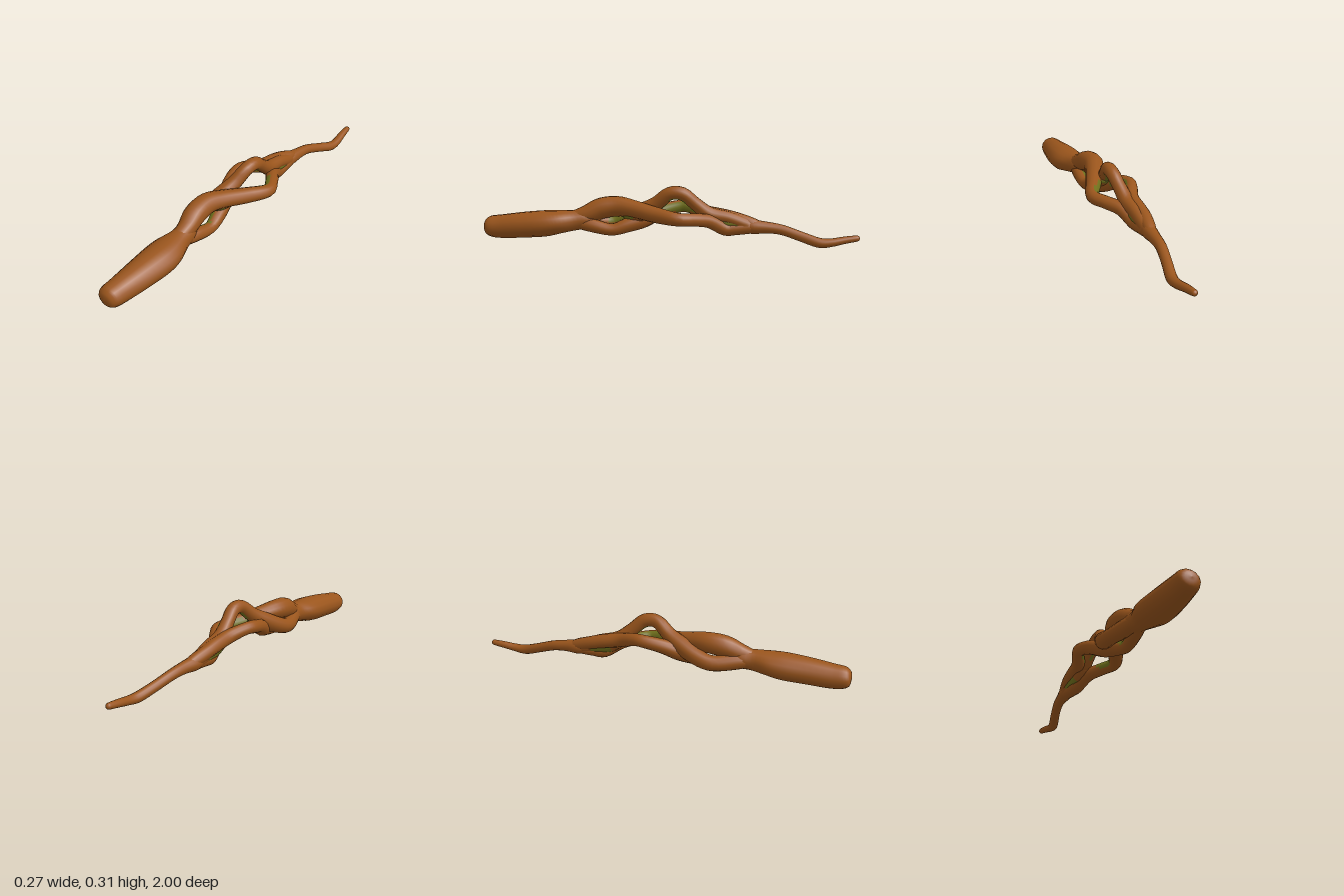
import * as THREE from 'three';

const SIDES = 14;
const bark = new THREE.MeshStandardMaterial({ color: 0x9a551c });
bark.name = 'brown bark';
const moss = new THREE.MeshStandardMaterial({ color: 0x70701c });
moss.name = 'olive moss';

// centre line enclosed by the three twisted strands, as [z, x, y]
const HUB = [[0.5, -0.02, 0.13], [0.3, -0.04, 0.13], [-0.06, 0, 0.205], [-0.32, -0.03, 0.125], [-0.5, -0.03, 0.1]];
// stretches of the twist that open up, mossy on the inside
const OPENINGS = [[0.19, 0.37], [-0.15, 0.06], [-0.37, -0.26]];

function hubAt(z) {
  const i = HUB.findIndex((h, k) => k > 0 && z >= h[0]);
  const [z0, x0, y0] = HUB[i - 1], [z1, x1, y1] = HUB[i];
  const t = (z0 - z) / (z0 - z1);
  return new THREE.Vector3(x0 + (x1 - x0) * t, y0 + (y1 - y0) * t, z);
}

// Smooth limb through points [x, y, z, half width, half height], running towards -z.
// Inside the openings, faces turned to the hub by more than mossLimit (a cosine) are mossy.
function limb(name, points, mossLimit = 2) {
  const path = new THREE.CatmullRomCurve3(points.map(p => new THREE.Vector3(p[0], p[1], p[2])), false, 'catmullrom', 0.5);
  const size = new THREE.CatmullRomCurve3(points.map(p => new THREE.Vector3(p[3], p[4] ?? p[3], 0)), false, 'catmullrom', 0.5);
  const rings = (points.length - 1) * 4;
  const pos = [], up = new THREE.Vector3(0, 1, 0);
  for (let i = 0; i <= rings; i++) {
    const c = path.getPoint(i / rings), r = size.getPoint(i / rings);
    const t = path.getTangent(i / rings);
    const sx = new THREE.Vector3().crossVectors(t, up).normalize();
    const sy = new THREE.Vector3().crossVectors(sx, t);
    for (let j = 0; j < SIDES; j++) {
      const a = j / SIDES * Math.PI * 2;
      const v = c.clone().addScaledVector(sx, Math.cos(a) * Math.max(r.x, 0.0005))
        .addScaledVector(sy, Math.sin(a) * Math.max(r.y, 0.0005));
      pos.push(v.x, v.y, v.z);
    }
  }
  const barkFaces = [], mossFaces = [];
  const at = k => new THREE.Vector3().fromArray(pos, k * 3);
  for (let i = 0; i < rings; i++) {
    for (let j = 0; j < SIDES; j++) {
      const a = i * SIDES + j, b = i * SIDES + (j + 1) % SIDES, c = a + SIDES, d = b + SIDES;
      let inner = false;
      const mid = at(a).add(at(d)).multiplyScalar(0.5);
      if (OPENINGS.some(([lo, hi]) => mid.z > lo && mid.z < hi)) {
        const n = at(c).sub(at(a)).cross(at(b).sub(at(a))).normalize();
        inner = n.dot(hubAt(mid.z).sub(mid).normalize()) > mossLimit;
      }
      (inner ? mossFaces : barkFaces).push(a, c, b, b, c, d);
    }
  }
  const geo = new THREE.BufferGeometry();
  geo.setAttribute('position', new THREE.Float32BufferAttribute(pos, 3));
  geo.setIndex([...barkFaces, ...mossFaces]);
  geo.addGroup(0, barkFaces.length, 0);
  geo.addGroup(barkFaces.length, mossFaces.length, 1);
  geo.computeVertexNormals();
  const mesh = new THREE.Mesh(geo, [bark, moss]);
  mesh.name = name;
  return mesh;
}

export function createModel() {
  const group = new THREE.Group();
  group.name = 'twistedWand';

  // thick rounded grip, tapering into the twist
  group.add(limb('handle', [
    [-0.025, 0.085, 1.0, 0], [-0.025, 0.085, 0.992, 0.04, 0.036], [-0.025, 0.084, 0.965, 0.06, 0.056],
    [-0.022, 0.084, 0.9, 0.068, 0.064], [-0.014, 0.095, 0.78, 0.082, 0.069],
    [-0.01, 0.105, 0.66, 0.092, 0.07], [-0.012, 0.115, 0.58, 0.085, 0.062],
    [-0.017, 0.124, 0.5, 0.058, 0.055], [-0.027, 0.132, 0.43, 0.052, 0.05], [-0.035, 0.15, 0.36, 0.02]]));

  // three strands winding around the hub
  group.add(limb('rightStrand', [
    [-0.018, 0.125, 0.54, 0.035], [-0.022, 0.155, 0.44, 0.048], [-0.035, 0.187, 0.36, 0.057],
    [-0.035, 0.199, 0.27, 0.056, 0.054], [-0.005, 0.19, 0.18, 0.05, 0.046], [0.05, 0.168, 0.06, 0.042],
    [0.101, 0.153, -0.06, 0.035], [0.066, 0.147, -0.14, 0.034], [0.012, 0.132, -0.22, 0.036],
    [-0.02, 0.09, -0.3, 0.036, 0.037], [-0.026, 0.09, -0.36, 0.035], [-0.03, 0.098, -0.44, 0.034], [-0.028, 0.096, -0.52, 0.015]], 0.4));
  group.add(limb('upperStrand', [
    [-0.025, 0.125, 0.52, 0.03], [-0.05, 0.117, 0.42, 0.043], [-0.087, 0.108, 0.31, 0.041],
    [-0.08, 0.128, 0.23, 0.044], [-0.05, 0.17, 0.14, 0.047], [-0.025, 0.218, 0.06, 0.039],
    [-0.002, 0.274, -0.01, 0.036], [0.0, 0.273, -0.08, 0.036], [-0.01, 0.222, -0.145, 0.035],
    [-0.02, 0.166, -0.22, 0.039], [-0.025, 0.145, -0.32, 0.035], [-0.03, 0.11, -0.42, 0.033], [-0.03, 0.096, -0.5, 0.015]], 0.4));
  group.add(limb('leftStrand', [
    [-0.015, 0.118, 0.52, 0.03], [-0.002, 0.1, 0.41, 0.036], [0.004, 0.079, 0.3, 0.032],
    [-0.01, 0.1, 0.22, 0.038], [-0.04, 0.13, 0.13, 0.044], [-0.08, 0.17, 0.04, 0.038],
    [-0.102, 0.193, -0.05, 0.034], [-0.092, 0.194, -0.11, 0.033], [-0.055, 0.17, -0.2, 0.037],
    [-0.05, 0.152, -0.3, 0.037], [-0.048, 0.136, -0.37, 0.035], [-0.035, 0.112, -0.45, 0.033], [-0.03, 0.098, -0.52, 0.015]], 0.4));

  // webs joining the strands where they meet, mossy where they show in the openings
  group.add(limb('frontWeb', [
    [-0.035, 0.15, 0.25, 0], [-0.03, 0.155, 0.21, 0.04, 0.035], [-0.022, 0.162, 0.14, 0.052, 0.042],
    [-0.02, 0.175, 0.08, 0.045, 0.03], [-0.02, 0.18, 0.04, 0]], -2));
  group.add(limb('backWeb', [
    [-0.022, 0.165, -0.17, 0], [-0.022, 0.15, -0.21, 0.04, 0.028], [-0.028, 0.125, -0.28, 0.036, 0.042],
    [-0.032, 0.118, -0.35, 0.036, 0.042], [-0.032, 0.105, -0.43, 0.035], [-0.03, 0.098, -0.5, 0.01]], -2));

  // thin tail curling up at the tip
  group.add(limb('tip', [
    [-0.032, 0.11, -0.38, 0.02], [-0.033, 0.1, -0.44, 0.038], [-0.028, 0.097, -0.52, 0.031],
    [-0.022, 0.087, -0.6, 0.027], [-0.002, 0.056, -0.7, 0.026], [0.02, 0.029, -0.79, 0.027, 0.026],
    [0.024, 0.031, -0.85, 0.024, 0.022], [0.017, 0.044, -0.92, 0.021, 0.019], [0.013, 0.053, -0.98, 0.016],
    [0.012, 0.055, -0.994, 0.011], [0.012, 0.056, -1.0, 0]]));

  return group;
}
